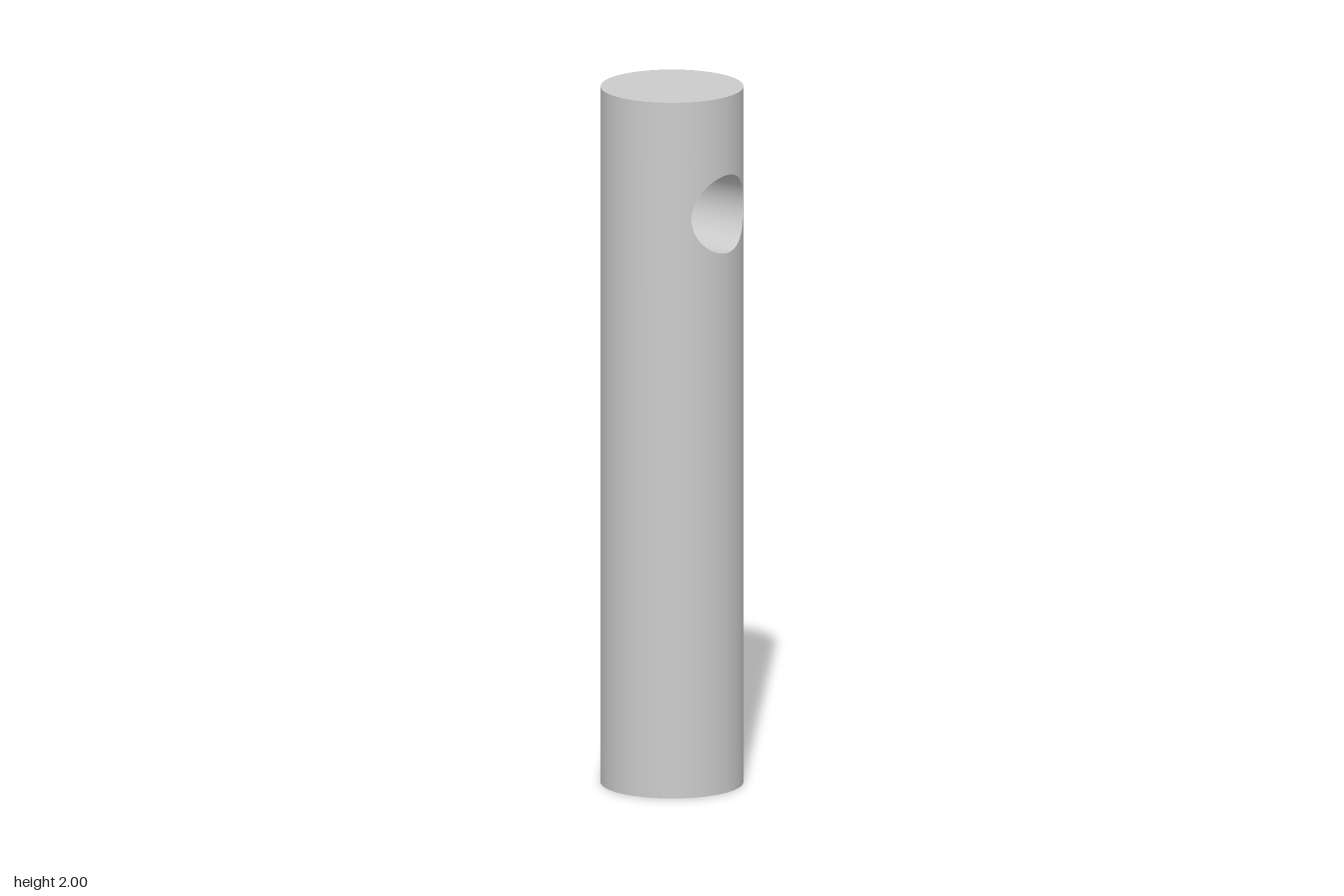
import * as THREE from 'three';
import { ParametricGeometry } from 'three/addons/geometries/ParametricGeometry.js';

const R = 0.2;          // rod radius
const H = 2;            // rod height
const HOLE_R = 0.112;   // cross hole radius
const HOLE_Y = 1.663;   // cross hole height
const BAND = 0.2;       // half height of the pierced band
const SEG = 64;

export function createModel() {
  const group = new THREE.Group();
  const material = new THREE.MeshStandardMaterial({ color: 0xcccccc });
  const add = (name, geometry) => {
    const mesh = new THREE.Mesh(geometry, material);
    mesh.name = name;
    group.add(mesh);
    return mesh;
  };

  // Plain walls below and above the pierced band
  const wall = (name, y0, y1) => {
    add(name, new THREE.CylinderGeometry(R, R, y1 - y0, SEG, 1, true)).position.y = (y0 + y1) / 2;
  };
  wall('lowerWall', 0, HOLE_Y - BAND);
  wall('upperWall', HOLE_Y + BAND, H);

  // End caps
  const top = add('topCap', new THREE.CircleGeometry(R, SEG));
  top.rotation.x = -Math.PI / 2;
  top.position.y = H;
  add('bottomCap', new THREE.CircleGeometry(R, SEG)).rotation.x = Math.PI / 2;

  // Half band: blends the hole rim into the band's edges, wrapped on the rod
  const edge = (s) => THREE.MathUtils.clamp(Math.asin(s) * 4 / Math.PI, -1, 1);
  const halfBand = new ParametricGeometry((u, v, target) => {
    const a = -2 * Math.PI * u, c = Math.cos(a), s = Math.sin(a);
    const theta = THREE.MathUtils.lerp(Math.asin(HOLE_R * c / R), edge(c) * Math.PI / 2, v);
    const y = THREE.MathUtils.lerp(HOLE_R * s, edge(s) * BAND, v);
    target.set(R * Math.sin(theta), HOLE_Y + y, R * Math.cos(theta));
  }, 2 * SEG, 16);
  add('frontBand', halfBand);
  add('backBand', halfBand).rotation.y = Math.PI;

  // Inside of the cross hole, running front to back
  add('crossHole', new ParametricGeometry((u, v, target) => {
    const a = -2 * Math.PI * u, x = HOLE_R * Math.cos(a);
    target.set(x, HOLE_Y + HOLE_R * Math.sin(a), (2 * v - 1) * Math.sqrt(R * R - x * x));
  }, 2 * SEG, 4));

  return group;
}
